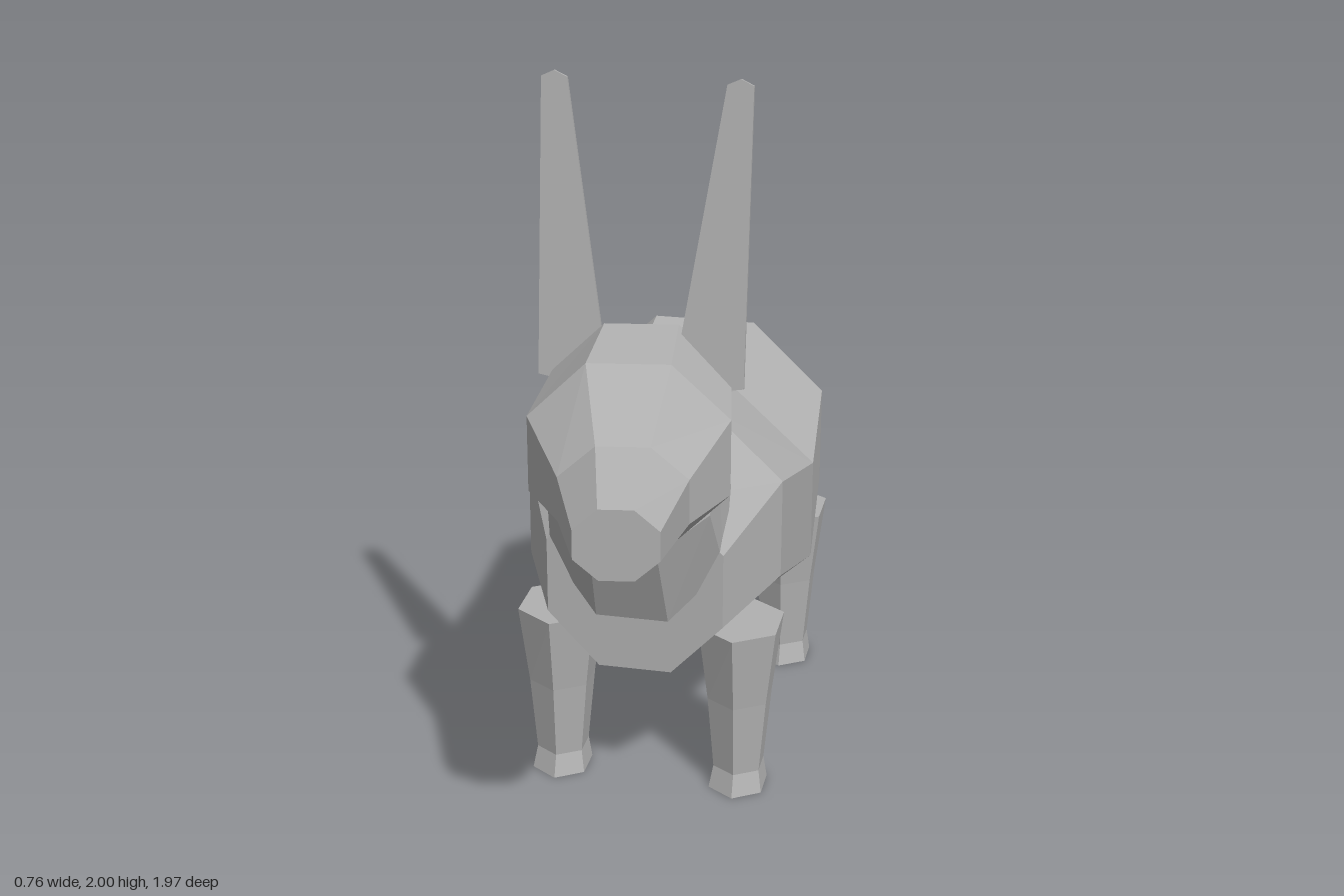
import * as THREE from 'three';

const grey = new THREE.MeshStandardMaterial({ color: 0xb0b0b0, flatShading: true });
grey.name = 'grey';

// Closed loft through polygon rings. Each ring: centre c, half-axis vectors u and v.
// Rings travel along u x v, so faces point outward.
function loft(name, rings, sides, phase) {
  const pos = [], index = [], n = sides;
  for (const { c, u, v } of rings) {
    for (let i = 0; i < n; i++) {
      const t = phase + (i / n) * Math.PI * 2, cs = Math.cos(t), sn = Math.sin(t);
      pos.push(...[0, 1, 2].map((k) => c[k] + u[k] * cs + v[k] * sn));
    }
  }
  for (let r = 0; r < rings.length - 1; r++) {
    for (let i = 0; i < n; i++) {
      const a = r * n + i, b = r * n + ((i + 1) % n);
      index.push(a, b, b + n, a, b + n, a + n);
    }
  }
  const last = (rings.length - 1) * n;
  for (let i = 1; i < n - 1; i++) {
    index.push(0, i + 1, i, last, last + i, last + i + 1);
  }
  const indexed = new THREE.BufferGeometry();
  indexed.setAttribute('position', new THREE.Float32BufferAttribute(pos, 3));
  indexed.setIndex(index);
  const geometry = indexed.toNonIndexed();
  geometry.computeVertexNormals();
  const mesh = new THREE.Mesh(geometry, grey);
  mesh.name = name;
  return mesh;
}

// Octagon with flat top and sides: a and the length of up are distances to the flats
const K = 1 / Math.cos(Math.PI / 8);
const octRing = (c, a, up, yaw = 0) => ({
  c,
  u: [a * K * Math.cos(yaw), 0, -a * K * Math.sin(yaw)],
  v: up.map((s) => s * K),
});

function createLeg(name, x, z) {
  // y, z shift, half width, half length
  const rings = [
    [0, 0.02, 0.073, 0.095],
    [0.06, 0.012, 0.063, 0.08],
    [0.27, 0.005, 0.08, 0.102],
    [0.49, 0, 0.105, 0.138],
  ].map(([y, dz, rx, rz]) => ({ c: [x, y, z + dz], u: [0, 0, rz], v: [rx / 0.866, 0, 0] }));
  return loft(name, rings, 6, 0);
}

function createEar(name, side) {
  // Flat tapering blade with a blunt tip, leaning back
  const outline = [[0.262, 0], [0.262, 0.745], [0.23, 0.76], [0.197, 0.745], [0.085, 0.02], [0.14, -0.02]];
  const shape = new THREE.Shape(outline.map(([x, y]) => new THREE.Vector2(x * side, y)));
  const geometry = new THREE.ExtrudeGeometry(shape, { depth: 0.009, bevelEnabled: false });
  geometry.translate(0, 0, -0.0045);
  const ear = new THREE.Mesh(geometry, grey);
  ear.name = name;
  ear.position.set(0.026, 1.245, 0.372);
  ear.rotation.x = -0.11;
  return ear;
}

export function createModel() {
  const model = new THREE.Group();
  model.name = 'animal';

  // Body: z, centre height, half width, half height
  const body = [
    [-0.84, 0.632, 0.23, 0.235],
    [-0.58, 0.748, 0.35, 0.332],
    [-0.24, 0.658, 0.378, 0.344],
    [0.10, 0.748, 0.347, 0.332],
    [0.34, 0.665, 0.235, 0.25],
  ].map(([z, y, a, h]) => octRing([0, y, z], a, [0, h, 0]));
  model.add(loft('body', body, 8, Math.PI / 8));

  // Neck rising forward
  model.add(loft('neck', [
    octRing([0, 0.82, 0.268], 0.232, [0, 0.24, -0.102]),
    octRing([0, 0.975, 0.36], 0.212, [0, 0.155, -0.11]),
    octRing([0.005, 1.11, 0.37], 0.185, [0, 0.08, -0.06]),
  ], 8, Math.PI / 8));

  // Head turned slightly to its left: x, y, z, half width, half height
  const head = [
    [0.023, 1.172, 0.345, 0.224, 0.214],
    [0.04, 1.122, 0.56, 0.248, 0.238],
    [0.065, 1.078, 0.728, 0.157, 0.138],
    [0.105, 1.074, 0.966, 0.101, 0.089],
  ].map(([x, y, z, a, h]) => octRing([x, y, z], a, [0, h, 0], 0.16));
  // Three.js x-z yaw: the +x side of each ring sits further back
  model.add(loft('head', head, 8, Math.PI / 8));

  model.add(createEar('leftEar', 1), createEar('rightEar', -1));

  // Legs
  for (const [side, x] of [['Left', 0.25], ['Right', -0.25]]) {
    model.add(createLeg('front' + side + 'Leg', x, 0.145));
    model.add(createLeg('rear' + side + 'Leg', x, -0.63));
  }

  // Tail, from tip to root
  model.add(loft('tail', [
    { c: [0.022, 0.61, -0.985], u: [0.046, 0, 0], v: [0, 0.04, 0] },
    { c: [0.01, 0.75, -0.9], u: [0.085, 0, 0], v: [0, 0.06, -0.02] },
    { c: [0, 0.84, -0.83], u: [0.108, 0, 0], v: [0, 0.095, 0.006] },
  ], 6, Math.PI / 6));

  return model;
}
